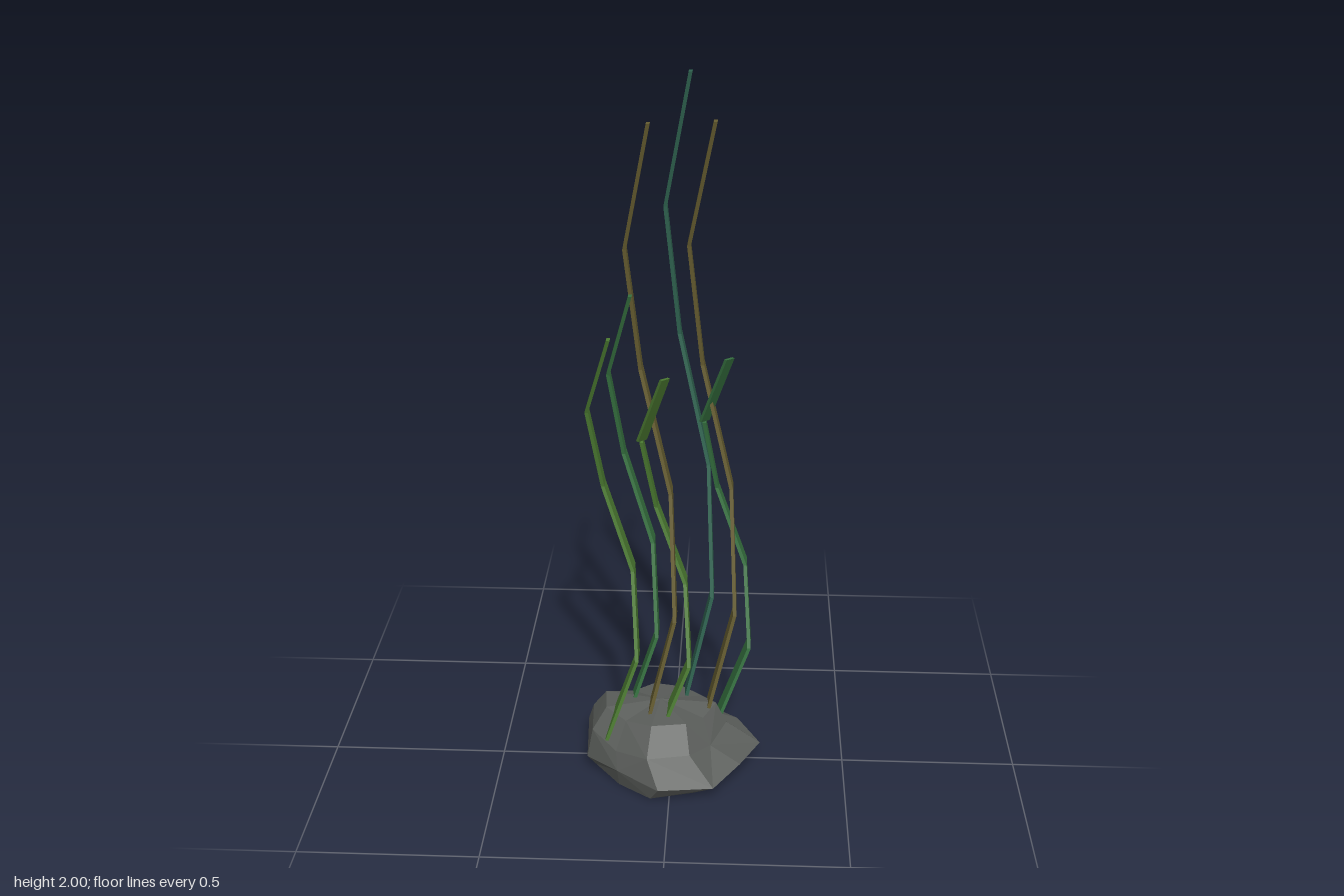
import * as THREE from 'three';

const material = (name, color) => {
  const m = new THREE.MeshStandardMaterial({ color, flatShading: true });
  m.name = name;
  return m;
};

// Faceted skin over a stack of rings (counterclockwise from above), capped at both ends
function loft(rings, capLift = 0) {
  const pos = [];
  const tri = (...pts) => pts.forEach((p) => pos.push(p.x, p.y, p.z));
  const n = rings[0].length;
  const middle = (ring) => ring.reduce((s, p) => s.add(p), new THREE.Vector3()).divideScalar(n);
  const low = rings[0], high = rings[rings.length - 1];
  const lowMid = middle(low), highMid = middle(high);
  highMid.y += capLift;
  for (let j = 0; j < n; j++) {
    const k = (j + 1) % n;
    for (let i = 0; i < rings.length - 1; i++) {
      const a = rings[i], b = rings[i + 1];
      // Alternate the diagonals for an irregular faceting
      if ((i + j) % 2) {
        tri(a[j], a[k], b[k]);
        tri(a[j], b[k], b[j]);
      } else {
        tri(a[j], a[k], b[j]);
        tri(a[k], b[k], b[j]);
      }
    }
    tri(lowMid, low[k], low[j]);
    tri(highMid, high[j], high[k]);
  }
  const g = new THREE.BufferGeometry();
  g.setAttribute('position', new THREE.Float32BufferAttribute(pos, 3));
  g.computeVertexNormals();
  return g;
}

// Thin rectangular cross-section, wide along z before turning
function bladeRing(c, width, turn = 0) {
  const t = 0.005, w = width / 2, cos = Math.cos(turn), sin = Math.sin(turn);
  return [[t, w], [t, -w], [-t, -w], [-t, w]].map(([u, v]) =>
    new THREE.Vector3(c.x + u * cos - v * sin, c.y, c.z + u * sin + v * cos));
}

// One spiral turn shared by every frond: x and z offsets at six heights
const SWAY_X = [-0.016, 0.069, 0.053, -0.032, -0.069, 0];
const SWAY_Z = [0.03, 0, -0.09, -0.138, -0.09, 0];
const WIDTH = [0.078, 0.066, 0.056, 0.046, 0.036, 0.025];
const BASE_Y = 0.125;

function frond(x, z, top, mat, turnedTip) {
  const group = new THREE.Group();
  group.name = 'frond';
  const path = SWAY_X.map((sx, i) =>
    new THREE.Vector3(x + sx, BASE_Y + (top - BASE_Y) * i / 5, z + SWAY_Z[i]));
  const rings = path.map((p, i) => bladeRing(p, WIDTH[i]));
  const blade = new THREE.Mesh(loft(turnedTip ? rings.slice(0, 5) : rings), mat);
  blade.name = 'blade';
  group.add(blade);
  if (turnedTip) {
    const tip = new THREE.Mesh(
      loft([bladeRing(path[4], 0.03, 0.88), bladeRing(path[5], 0.027, 0.88)]), mat);
    tip.name = 'turnedTip';
    group.add(tip);
  }
  return group;
}

function rock(mat) {
  // Widest outline: x, y, z
  const outline = [
    [-0.257, 0.05, -0.12], [-0.245, 0.04, 0.07], [-0.15, 0.06, 0.17], [-0.03, 0.055, 0.255],
    [0.125, 0.04, 0.215], [0.2, 0.06, 0.12], [0.257, 0.055, 0], [0.19, 0.07, -0.105],
    [0.1, 0.05, -0.2], [-0.035, 0.06, -0.195], [-0.13, 0.07, -0.15],
  ];
  const ring = (sx, sz, dx, dz, y, rough) => outline.map(([px, , pz], i) =>
    new THREE.Vector3(px * sx + dx, y + rough * Math.sin(i * 2.3), pz * sz + dz));
  const mesh = new THREE.Mesh(loft([
    ring(0.78, 0.88, -0.03, 0, 0.005, 0.004),
    outline.map((p) => new THREE.Vector3(...p)),
    ring(0.77, 0.77, -0.04, 0.01, 0.12, 0.012),
    ring(0.63, 0.5, -0.035, 0.005, 0.185, 0.008),
  ], 0.018), mat);
  mesh.name = 'rock';
  return mesh;
}

export function createModel() {
  const model = new THREE.Group();
  model.name = 'seaweedOnRock';
  const stone = material('stone grey', 0x5a5d5a);
  const moss = material('moss green', 0x4b7a31);
  const green = material('leaf green', 0x35703f);
  const olive = material('olive brown', 0x655c30);
  const teal = material('deep teal', 0x2f6350);

  model.add(rock(stone));

  // Fronds: base x, base z, tip height, colour, turned tip
  [
    [-0.167, 0.045, 1.325, moss, false],
    [-0.116, -0.065, 1.41, green, false],
    [-0.061, 0.013, 1.89, olive, false],
    [-0.019, 0.03, 1.21, moss, true],
    [0.042, -0.096, 2.0, teal, false],
    [0.108, -0.034, 1.887, olive, false],
    [0.151, -0.078, 1.23, green, true],
  ].forEach((f) => model.add(frond(...f)));

  return model;
}
